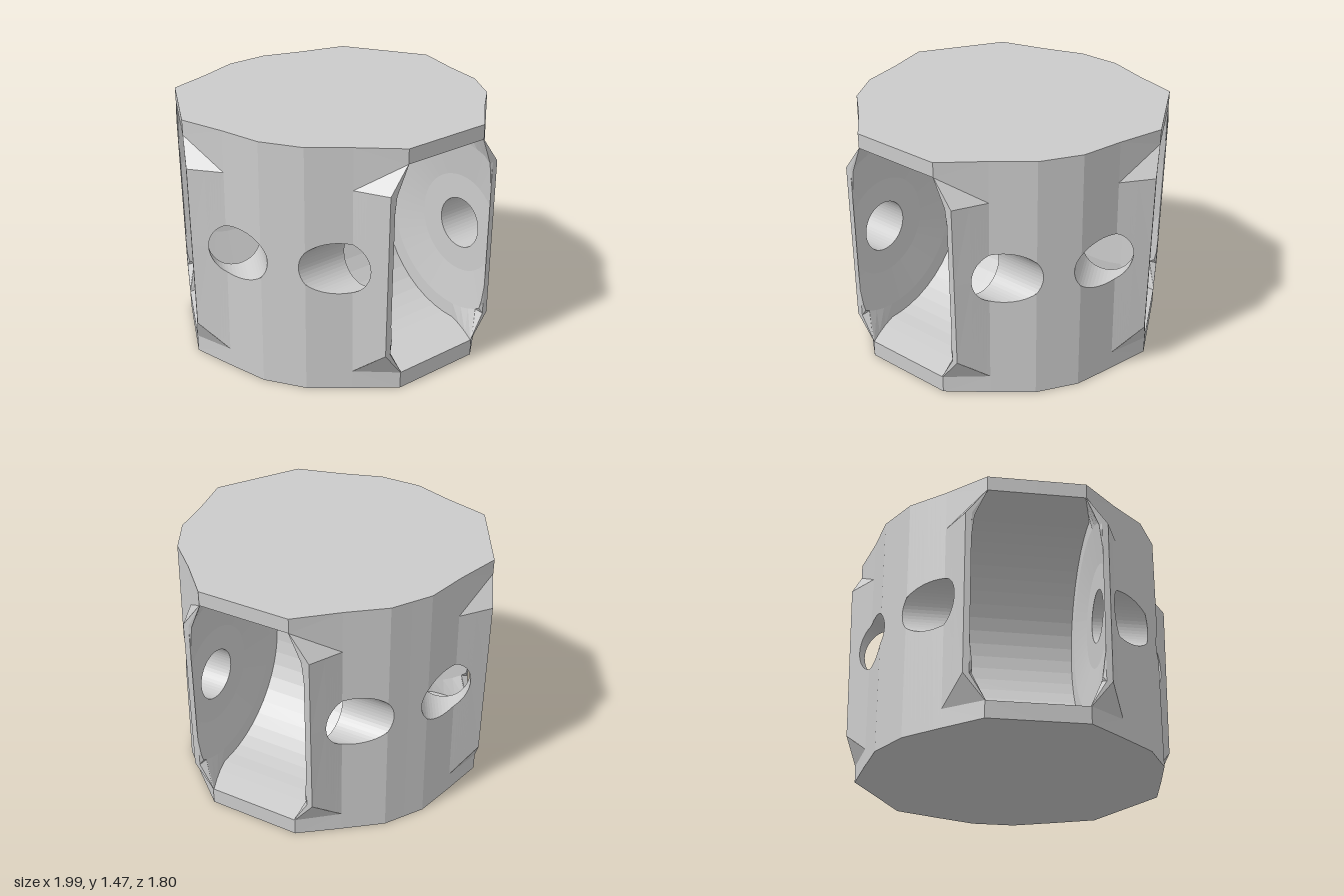
import * as THREE from 'three';

// One of three equal sectors is built as a right half (x = sideways, z = outward) and mirrored.
const H = 1.465;                                   // body height
const FACE = 0.922;                                // distance of the pocket face from the axis
const AXLE = { y: 0.757, z: 0.67, r: 0.153 };      // cross hole
const WHEEL = { r: 0.62, x: 0.352 };               // round pocket cavity
const DISC = { r: 0.3, x: 0.383 };                 // flat pad around the hole
const CONE = 0.53;                                 // radius to which the cone around the pad runs
const RIM = { top: 1.22, bottom: 0.25 };           // straight part of the pocket jamb
const OPEN = { top: 1.377, bottom: 0.1 };          // height range of the opening
const NARROW = [0.285, FACE], LIP = [0.405, FACE], P1 = [0.495, 0.72], P2 = [0.693, 0.551], MID = [0.758, 0.4376];
const lerp = THREE.MathUtils.lerp;
const at = ([x, z], y) => [x, y, z];

// The pocket face leans in slightly towards the bottom
const lean = ([x, y, z]) => [x, y, z - 0.03 * (1 - y / H) * Math.max(0, (z - P1[1]) / (FACE - P1[1]))];

// Collects polygons of the right half together with their mirror images
class Part {
  constructor(name) { this.name = name; this.p = []; }
  poly(...corners) {
    const v = corners.map(lean);
    for (let i = 1; i < v.length - 1; i++) {
      const t = [v[0], v[i], v[i + 1]];
      t.forEach((a) => this.p.push(...a));
      [t[0], t[2], t[1]].forEach(([x, y, z]) => this.p.push(-x, y, z));
    }
  }
  mesh(material) {
    const g = new THREE.BufferGeometry();
    g.setAttribute('position', new THREE.Float32BufferAttribute(this.p, 3));
    g.computeVertexNormals();
    const m = new THREE.Mesh(g, material);
    m.name = this.name;
    return m;
  }
}

// Sideways position of the faceted outer wall at distance z
function wallX(z) {
  const pts = [LIP, P1, P2, MID];
  for (let i = 0; i < 3; i++) {
    const [a, b] = [pts[i], pts[i + 1]];
    if (z >= b[1] - 1e-6) return lerp(b[0], a[0], (z - b[1]) / (a[1] - b[1]));
  }
  return MID[0];
}

// Half width of the pocket opening at height y
function rimX(y) {
  if (y > RIM.top) return lerp(0.37, 0.28, (y - RIM.top) / (OPEN.top - RIM.top));
  if (y < RIM.bottom) return lerp(0.37, 0.28, (RIM.bottom - y) / (RIM.bottom - OPEN.bottom));
  return 0.37;
}

// Angles around the cross hole, with the corners of the opening included
const depth = FACE - AXLE.z;
const corner = Math.atan2(WHEEL.r, depth);
const angles = [corner, 2 * Math.PI - corner, Math.atan2(RIM.top - AXLE.y, depth),
  2 * Math.PI + Math.atan2(RIM.bottom - AXLE.y, depth)];
for (let i = 0; i <= 48; i++) angles.push(i * Math.PI / 24);
angles.sort((a, b) => a - b);

const circle = (a, r, x) => [x, AXLE.y + r * Math.sin(a), AXLE.z + r * Math.cos(a)];

// Distance from the hole to the edge of the cavity: round at the back, square at the front
function reach(a) {
  const c = Math.cos(a), s = Math.abs(Math.sin(a));
  return c <= 1e-6 ? WHEEL.r : Math.min(depth / c, WHEEL.r / Math.max(s, 1e-6));
}

// Edge of the cavity, dropping a little towards the sill of the opening
function cavityEdge(a) {
  const [x, y, z] = circle(a, reach(a), WHEEL.x);
  const f = Math.max(0, (z - AXLE.z) / depth);
  const low = Math.max(0, (RIM.bottom - y) / (RIM.bottom - AXLE.y + WHEEL.r));
  const edgeY = f > 0 ? y - (AXLE.y - WHEEL.r - OPEN.bottom) * low * f : y;
  return [lerp(x, rimX(edgeY), f), edgeY, z];
}

function outerWall() {
  const part = new Part('outerWall');
  // vertical columns, split above and below the hole
  const zs = [LIP, P1, P2, MID].map((p) => p[1]);
  for (let i = 0; i <= 24; i++) zs.push(AXLE.z + AXLE.r * Math.cos(i * Math.PI / 24));
  zs.sort((a, b) => b - a);
  const half = (z) => Math.sqrt(Math.max(0, AXLE.r ** 2 - (z - AXLE.z) ** 2));
  for (let i = 0; i < zs.length - 1; i++) {
    const [a, b] = [zs[i], zs[i + 1]];
    const flared = (a + b) / 2 > P1[1];
    const low = (z) => flared ? lerp(0.11, RIM.bottom, (z - P1[1]) / (FACE - P1[1])) : 0;
    const high = flared ? RIM.top : H;
    const pt = (z, y) => [wallX(z), y, z];
    part.poly(pt(a, low(a)), pt(b, low(b)), pt(b, AXLE.y - half(b)), pt(a, AXLE.y - half(a)));
    part.poly(pt(a, AXLE.y + half(a)), pt(b, AXLE.y + half(b)), pt(b, high), pt(a, high));
  }
  // narrow bands and sloped gussets above and below the flared jambs
  part.poly(at(NARROW, OPEN.top), at(P1, RIM.top), at(P1, H), at(NARROW, H));
  part.poly(at(NARROW, 0), at(P1, 0), at(P1, 0.11), at(NARROW, OPEN.bottom));
  part.poly(at(NARROW, OPEN.top), at(LIP, RIM.top), at(P1, RIM.top));
  part.poly(at(NARROW, OPEN.bottom), at(P1, 0.11), at(LIP, RIM.bottom));
  return part;
}

function pocketFrame() {
  const part = new Part('pocketFrame');
  const ys = [OPEN.top, RIM.top, RIM.bottom, OPEN.bottom];
  const outer = [NARROW, LIP, LIP, NARROW].map((p, i) => at(p, ys[i]));
  const inner = ys.map((y) => [rimX(y), y, FACE]);
  for (let i = 0; i < 3; i++) part.poly(inner[i], inner[i + 1], outer[i + 1], outer[i]);
  for (const [y0, y1] of [[OPEN.top, H], [0, OPEN.bottom]]) {
    part.poly([0, y0, FACE], at(NARROW, y0), at(NARROW, y1), [0, y1, FACE]);
  }
  return part;
}

function pocketAndHole() {
  const sides = new Part('pocketSides'), floor = new Part('pocketFloor'), hole = new Part('crossHole');
  const rings = (a) => {
    const k = reach(a);
    const rc = Math.min(CONE, k * 0.98);
    const coneX = lerp(DISC.x, WHEEL.x, Math.max(0, (rc - DISC.r) / (CONE - DISC.r)));
    return [circle(a, AXLE.r, DISC.x), circle(a, Math.min(DISC.r, k * 0.96), DISC.x),
      circle(a, rc, coneX), cavityEdge(a)];
  };
  const mid = ([, y, z]) => [0, y, z];
  const out = ([, y, z]) => [wallX(z), y, z];
  for (let i = 0; i < angles.length - 1; i++) {
    const [a, b] = [angles[i], angles[i + 1]];
    const [ra, rb] = [rings(a), rings(b)];
    for (let k = 0; k < 3; k++) sides.poly(ra[k], ra[k + 1], rb[k + 1], rb[k]);
    if (a >= corner - 1e-6 && b <= 2 * Math.PI - corner + 1e-6) {
      floor.poly(ra[3], mid(ra[3]), mid(rb[3]), rb[3]);
    }
    hole.poly(ra[0], rb[0], out(rb[0]), out(ra[0]));
  }
  return [sides, floor, hole];
}

function caps() {
  const top = new Part('topCap'), bottom = new Part('bottomCap');
  const edge = [[0, FACE], NARROW, P1, P2, MID];
  for (let i = 0; i < edge.length - 1; i++) {
    top.poly([0, H, 0], at(edge[i], H), at(edge[i + 1], H));
    bottom.poly([0, 0, 0], at(edge[i + 1], 0), at(edge[i], 0));
  }
  return [top, bottom];
}

export function createModel() {
  const material = new THREE.MeshStandardMaterial({ color: 0xcccccc, flatShading: true });
  const sector = new THREE.Group();
  [outerWall(), pocketFrame(), ...pocketAndHole(), ...caps()].forEach((p) => sector.add(p.mesh(material)));

  // three sectors around the vertical axis
  const model = new THREE.Group();
  model.name = 'hub';
  ['leftSector', 'backSector', 'rightSector'].forEach((name, i) => {
    const s = sector.clone();
    s.name = name;
    s.rotation.y = Math.PI / 3 + i * 2 * Math.PI / 3;
    s.position.z = 0.022;
    model.add(s);
  });
  return model;
}
